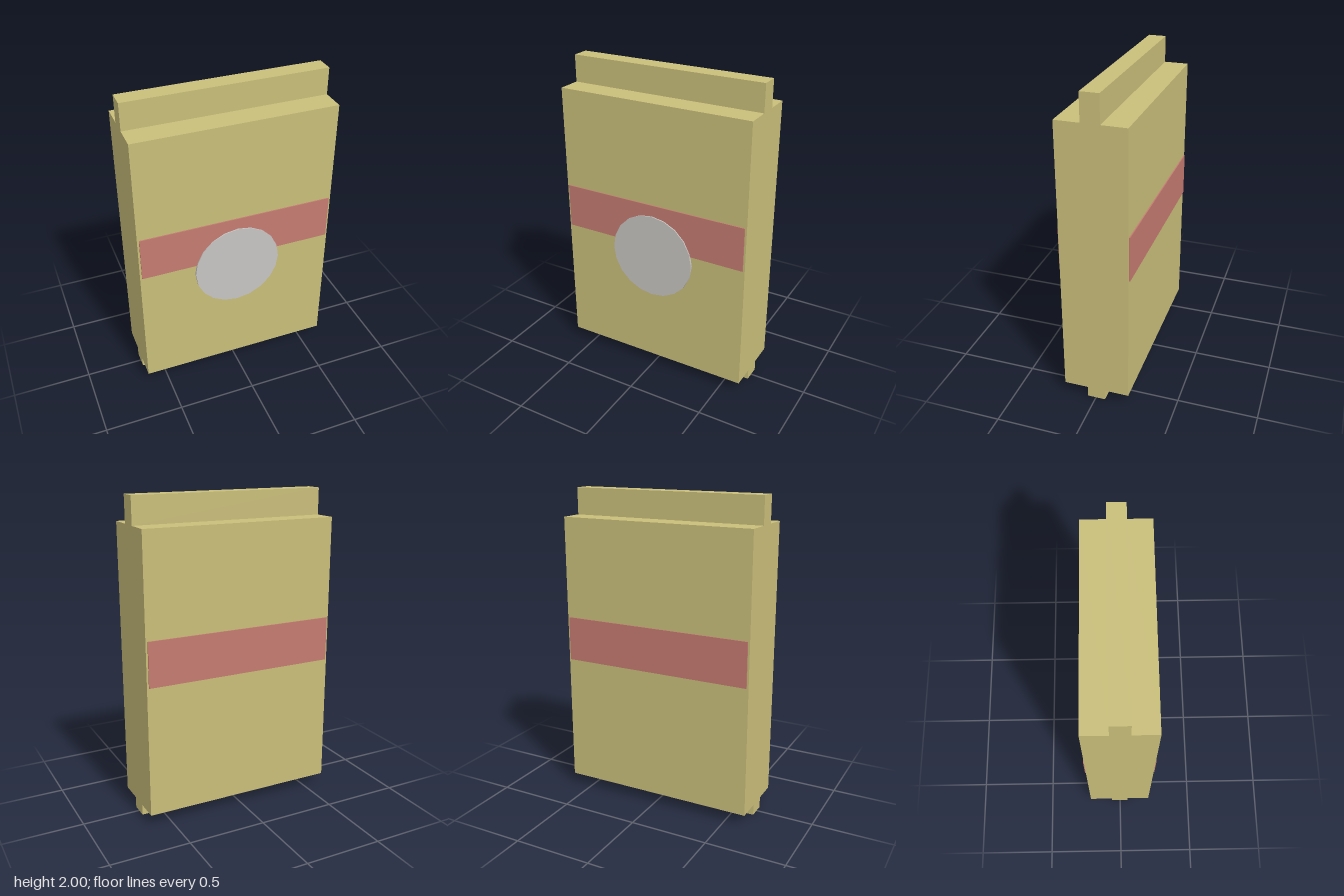
import * as THREE from 'three';

const sand = new THREE.MeshStandardMaterial({ name: 'sand', color: 0xc9be7a });
const red = new THREE.MeshStandardMaterial({ name: 'dusty red', color: 0xc57b71 });
const grey = new THREE.MeshStandardMaterial({ name: 'light grey', color: 0xc8c6c3 });

const WIDTH = 1.264, FRONT = 0.206, BACK = -0.214;

export function createModel() {
  const group = new THREE.Group();
  const add = (name, geometry, material, x = 0, y = 0, z = 0) => {
    const mesh = new THREE.Mesh(geometry, material);
    mesh.name = name;
    mesh.position.set(x, y, z);
    group.add(mesh);
  };

  // Slab with a narrow tongue above and below: side profile (z, y) swept across x
  const profile = new THREE.Shape([
    [-0.06, 0], [0.053, 0], [0.053, 0.07], [FRONT, 0.07], [FRONT, 1.83], [0.053, 1.83],
    [0.053, 2], [-0.06, 2], [-0.06, 1.83], [BACK, 1.83], [BACK, 0.07], [-0.06, 0.07],
  ].map(([z, y]) => new THREE.Vector2(z, y)));
  const body = new THREE.ExtrudeGeometry(profile, { depth: WIDTH, bevelEnabled: false });
  body.translate(0, 0, -WIDTH / 2).rotateY(-Math.PI / 2);
  add('body', body, sand);

  // Thin stripes across both faces
  const stripe = new THREE.BoxGeometry(1.24, 0.285, 0.007);
  add('frontStripe', stripe, red, 0, 1.044, FRONT + 0.0035);
  add('backStripe', stripe, red, 0, 1.044, BACK - 0.0035);

  // Round disc overlapping the front stripe
  const disc = new THREE.CylinderGeometry(0.28, 0.28, 0.014, 20).rotateX(Math.PI / 2);
  add('disc', disc, grey, 0, 0.834, FRONT + 0.007);

  return group;
}
